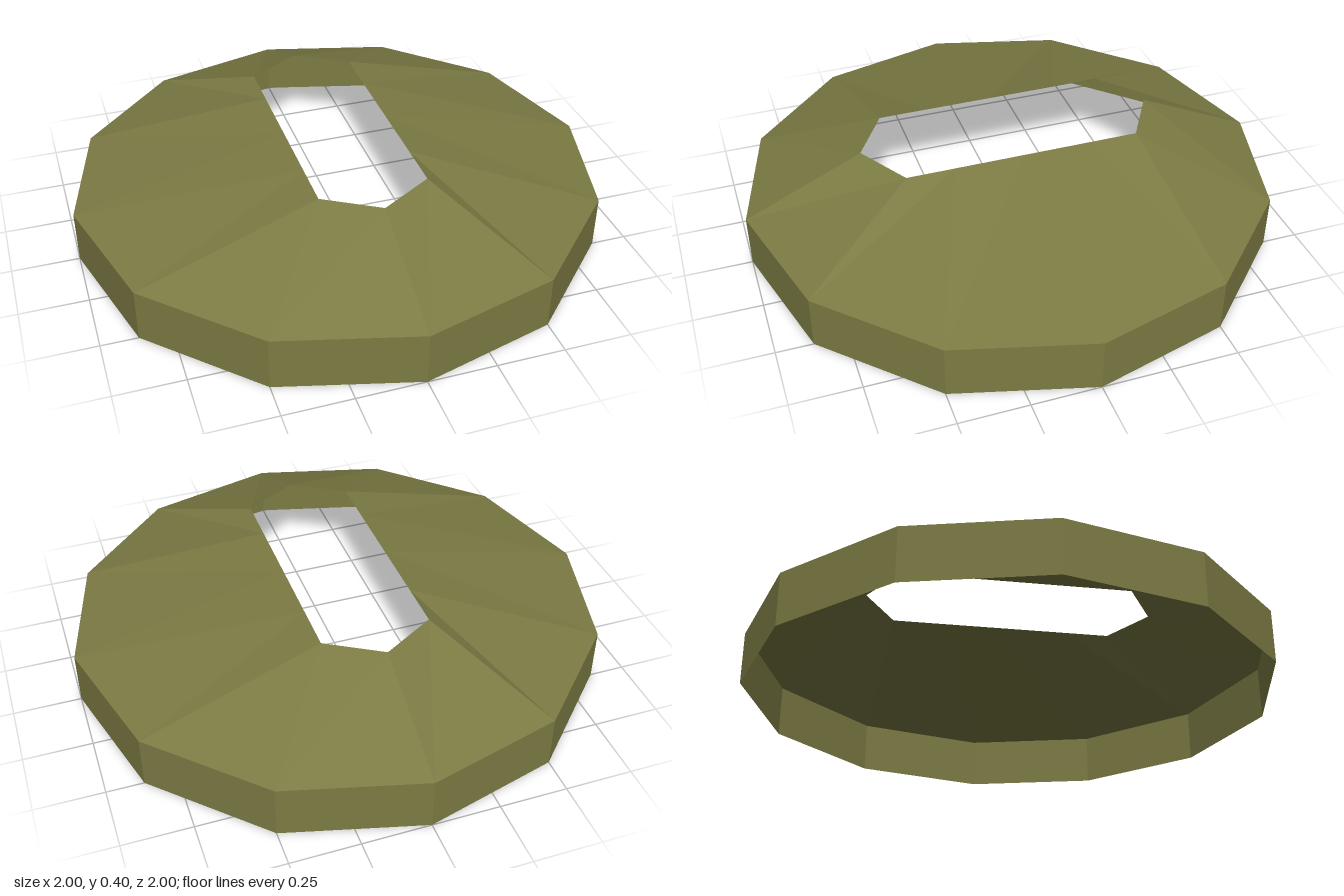
import * as THREE from 'three';

const SIDES = 12;

// Flat-shaded band of quads joining two closed rings of points
function band(lower, upper) {
  const positions = [];
  for (let i = 0; i < SIDES; i++) {
    const j = (i + 1) % SIDES;
    const corners = [lower[i], lower[j], upper[j], lower[i], upper[j], upper[i]];
    corners.forEach((p) => positions.push(p.x, p.y, p.z));
  }
  const geometry = new THREE.BufferGeometry();
  geometry.setAttribute('position', new THREE.Float32BufferAttribute(positions, 3));
  geometry.computeVertexNormals();
  return geometry;
}

export function createModel() {
  const olive = new THREE.MeshStandardMaterial({
    color: 0x7c7b44, flatShading: true, side: THREE.DoubleSide,
  });
  olive.name = 'olive';

  // Regular twelve-sided outline at a given height
  const outline = (y) => Array.from({ length: SIDES }, (_, i) => {
    const a = (i / SIDES) * Math.PI * 2;
    return new THREE.Vector3(Math.sin(a), y, Math.cos(a));
  });

  // Rim of the long slot: one quarter, mirrored to all four
  const quarter = [[0, 0.56], [0.2, 0.44], [0.2, 0.26], [0.2, 0]];
  const slot = Array.from({ length: SIDES }, (_, i) => {
    const k = i % 6 <= 3 ? i % 6 : 6 - (i % 6);
    const [x, z] = quarter[i === 6 ? 0 : k];
    const a = (i / SIDES) * Math.PI * 2;
    const signX = Math.sin(a) < 0 ? -1 : 1;
    const back = i > 3 && i < 9;
    // Past the widest point the quarter runs back toward the ends
    return new THREE.Vector3(signX * x, 0.4, back ? -z : z);
  });

  const group = new THREE.Group();
  const add = (name, geometry) => {
    const mesh = new THREE.Mesh(geometry, olive);
    mesh.name = name;
    group.add(mesh);
  };

  // Open upright skirt and sloping roof around the slot
  add('skirtWall', band(outline(0), outline(0.2)));
  add('slopedRoof', band(outline(0.2), slot));
  return group;
}
